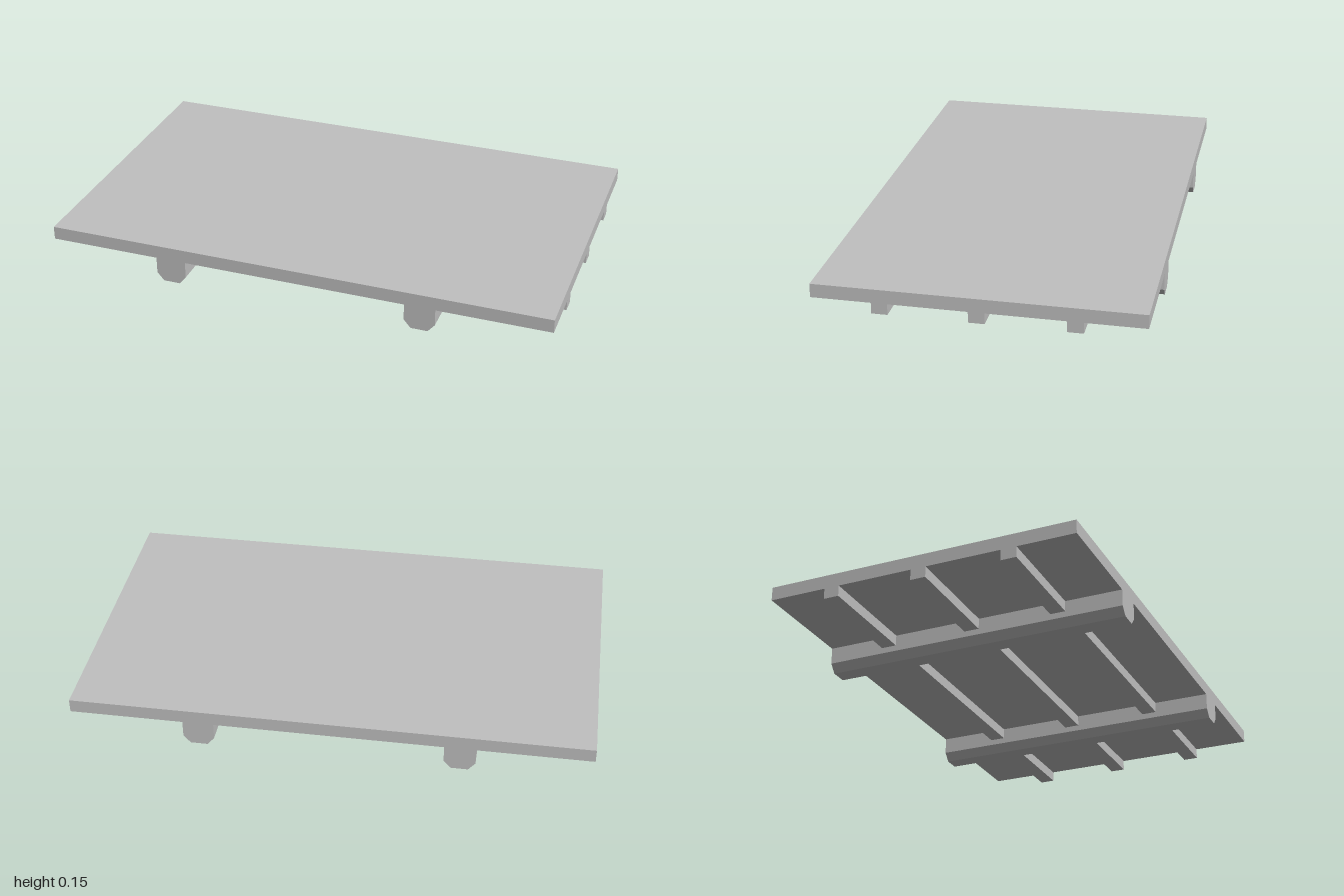
import * as THREE from 'three';

const DEPTH = 1.216;
const TOP = 0.15, UNDERSIDE = 0.097;
const BEAM_X = 0.5, BEAM_HALF = 0.06, FLAT_HALF = 0.033, CHAMFER_Y = 0.032;
const JOIST_BOTTOM = 0.055, JOIST_WIDTH = 0.06, JOIST_SPACING = 0.353;

export function createModel() {
  const group = new THREE.Group();
  group.name = 'floorPanel';
  const concrete = new THREE.MeshStandardMaterial({ color: 0xc0c0c0 });
  concrete.name = 'light grey concrete';

  // Deck and its two chamfered main beams, one profile run front to back
  const profile = new THREE.Shape();
  profile.moveTo(-1, TOP);
  profile.lineTo(-1, UNDERSIDE);
  for (const x of [-BEAM_X, BEAM_X]) {
    profile.lineTo(x - BEAM_HALF, UNDERSIDE);
    profile.lineTo(x - BEAM_HALF, CHAMFER_Y);
    profile.lineTo(x - FLAT_HALF, 0);
    profile.lineTo(x + FLAT_HALF, 0);
    profile.lineTo(x + BEAM_HALF, CHAMFER_Y);
    profile.lineTo(x + BEAM_HALF, UNDERSIDE);
  }
  profile.lineTo(1, UNDERSIDE);
  profile.lineTo(1, TOP);
  profile.closePath();
  const deckGeometry = new THREE.ExtrudeGeometry(profile, { depth: DEPTH, bevelEnabled: false });
  deckGeometry.translate(0, 0, -DEPTH / 2);
  const deck = new THREE.Mesh(deckGeometry, concrete);
  deck.name = 'deckWithBeams';
  group.add(deck);

  // Cross joists, fitted between and outside the beams
  const spans = [
    [-1, -BEAM_X - BEAM_HALF],
    [-BEAM_X + BEAM_HALF, BEAM_X - BEAM_HALF],
    [BEAM_X + BEAM_HALF, 1],
  ];
  const height = UNDERSIDE - JOIST_BOTTOM;
  for (const row of [-1, 0, 1]) {
    for (const [x0, x1] of spans) {
      const joist = new THREE.Mesh(new THREE.BoxGeometry(x1 - x0, height, JOIST_WIDTH), concrete);
      joist.position.set((x0 + x1) / 2, JOIST_BOTTOM + height / 2, row * JOIST_SPACING);
      joist.name = 'joist';
      group.add(joist);
    }
  }
  return group;
}
